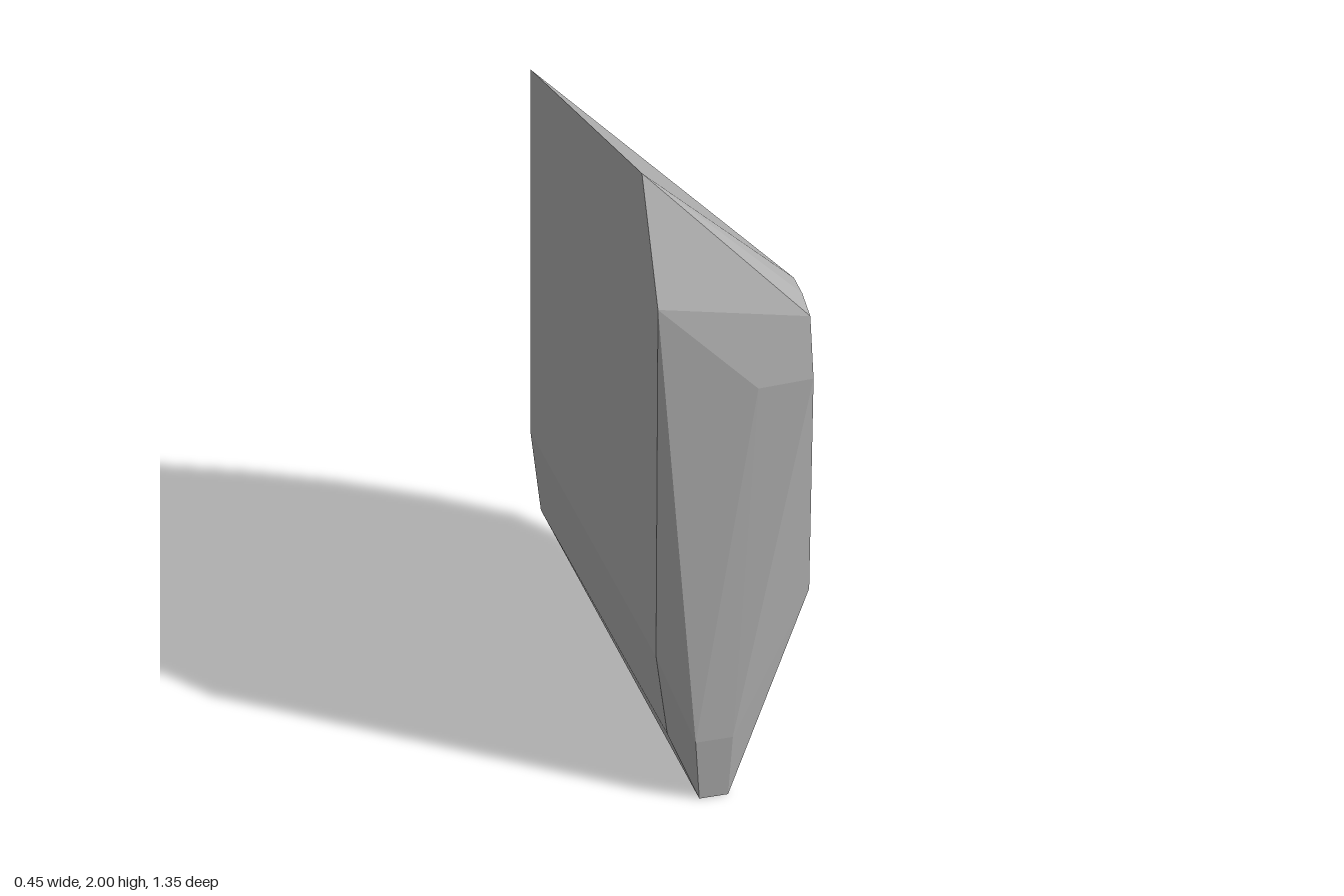
import * as THREE from 'three';
import { ConvexGeometry } from 'three/addons/geometries/ConvexGeometry.js';

// A faceted stone slab: each ring of corners is one flat cut, joined as a convex solid
export function createModel() {
  const group = new THREE.Group();
  group.name = 'rock';

  // flat back cut, [x, y]
  const back = [[-0.225, 1.655], [-0.02, 1.27], [0.056, 1.055], [0.103, 0.765], [0.11, 0.475],
    [0.025, 0.185], [-0.077, 0.035], [-0.194, 0.165], [-0.225, 0.435]];
  // left cut, [y, z]
  const left = [[1.54, 0.622], [1.567, 0.54], [1.567, 0.455], [1.34, 0.23], [1.11, 0.235],
    [0.615, 0.53], [0.615, 0.61], [1.35, 0.655]];
  // right cut, [y, z]
  const right = [[2, 0.457], [1.64, 0.62], [0.46, 0.6]];
  // front bulge and foot, [x, y, z]
  const front = [[0.06, 1.35, 0.662], [-0.13, 0.2, 0.677], [-0.02, 0.2, 0.677], [-0.19, 0.19, 0.595]];
  const foot = [[-0.115, 0, 0.662], [-0.03, 0, 0.662], [-0.115, 0.002, 0.43], [-0.035, 0.002, 0.43]];

  const corners = [
    ...back.map(([x, y]) => [x, y, -0.677]),
    ...left.map(([y, z]) => [0.225, y, z]),
    ...right.map(([y, z]) => [-0.225, y, z]),
    ...front, ...foot,
  ].map((p) => new THREE.Vector3(...p));

  const stone = new THREE.MeshStandardMaterial({ color: 0xb0b0b0 });
  stone.name = 'stone grey';
  stone.flatShading = true;

  const mesh = new THREE.Mesh(new ConvexGeometry(corners), stone);
  mesh.name = 'stoneSlab';
  group.add(mesh);
  return group;
}
